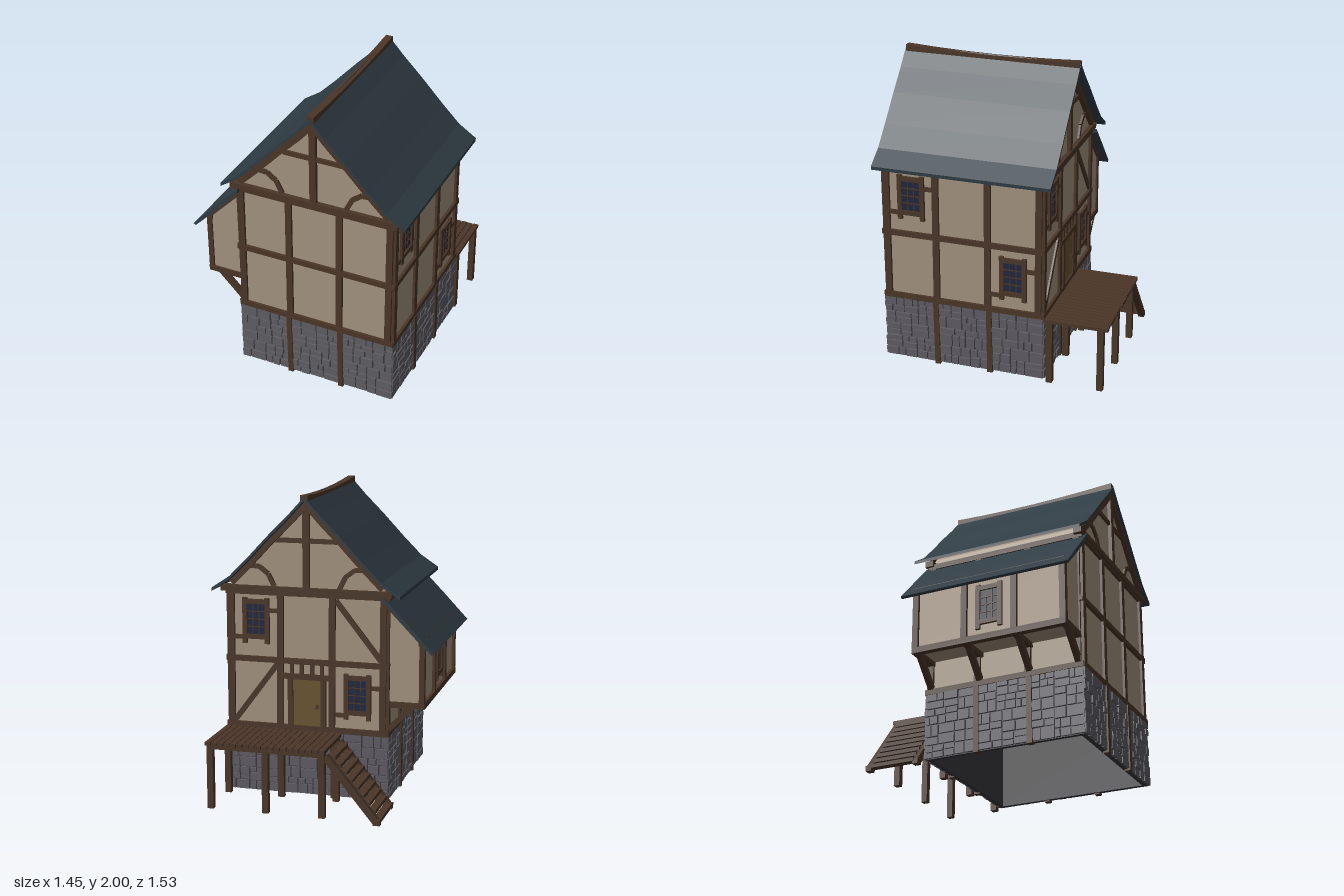
import * as THREE from 'three';
import { mergeGeometries } from 'three/addons/utils/BufferGeometryUtils.js';

const paint = (color, side = THREE.FrontSide) =>
  new THREE.MeshStandardMaterial({ color, side, flatShading: true, roughness: 0.9 });
const wood = paint(0x4b3628), plaster = paint(0xa4937f), slate = paint(0x2f3c44, THREE.DoubleSide);
const stone = paint(0x5f5d64), mortar = paint(0x38363b), glass = paint(0x1e2740), doorWood = paint(0x6a5530);
const CX = 0.108, CZ = 0.192, HALF = 0.525;

function add(parent, name, geo, mat) {
  const m = new THREE.Mesh(geo, mat);
  m.name = name;
  parent.add(m);
  return m;
}
// Box given by its limits
function box(parent, name, mat, x0, x1, y0, y1, z0, z1) {
  const m = add(parent, name, new THREE.BoxGeometry(x1 - x0, y1 - y0, z1 - z0), mat);
  m.position.set((x0 + x1) / 2, (y0 + y1) / 2, (z0 + z1) / 2);
  return m;
}
// Slanted beam between two points of an xy plane, centred on depth z
function beam(parent, name, a, b, w, z, d) {
  const dx = b[0] - a[0], dy = b[1] - a[1];
  const m = add(parent, name, new THREE.BoxGeometry(Math.hypot(dx, dy), w, d), wood);
  m.position.set((a[0] + b[0]) / 2, (a[1] + b[1]) / 2, z);
  m.rotation.z = Math.atan2(dy, dx);
  return m;
}
// Outline in xy pulled along z
function prism(parent, name, mat, pts, z0, z1) {
  const shape = new THREE.Shape(pts.map(p => new THREE.Vector2(p[0], p[1])));
  const geo = new THREE.ExtrudeGeometry(shape, { depth: z1 - z0, bevelEnabled: false });
  return add(parent, name, geo.translate(0, 0, z0), mat);
}
function seeded(seed) {
  return () => (seed = (seed * 16807) % 2147483647) / 2147483647;
}

// Irregular masonry: a rectangle split again and again into raised blocks
function masonry(rand, u0, u1, v0, v1, out) {
  const w = u1 - u0, h = v1 - v0;
  const splitW = w > 0.13 || (w > 0.09 && rand() < 0.3), splitH = h > 0.085;
  if (splitW && (w > h * 1.5 || !splitH)) {
    const c = u0 + w * (0.35 + 0.3 * rand());
    masonry(rand, u0, c, v0, v1, out);
    masonry(rand, c, u1, v0, v1, out);
  } else if (splitH) {
    const c = v0 + h * (0.35 + 0.3 * rand());
    masonry(rand, u0, u1, v0, c, out);
    masonry(rand, u0, u1, c, v1, out);
  } else {
    const d = 0.014 + 0.008 * rand();
    out.push(new THREE.BoxGeometry(w - 0.008, h - 0.008, d)
      .translate((u0 + u1) / 2, (v0 + v1) / 2, 0.524 + d / 2));
  }
}

// Framed window with lattice, on a wall plane at depth n
function windowUnit(parent, u, v, n) {
  const g = new THREE.Group();
  g.name = 'window';
  g.position.set(u, v, n);
  parent.add(g);
  box(g, 'glass', glass, -0.06, 0.06, -0.1, 0.1, 0, 0.006);
  for (const x of [-0.02, 0.02]) box(g, 'lattice', wood, x - 0.003, x + 0.003, -0.1, 0.1, 0, 0.011);
  for (const y of [-0.05, 0, 0.05]) box(g, 'lattice', wood, -0.06, 0.06, y - 0.003, y + 0.003, 0, 0.011);
  for (const y of [-0.115, 0.115]) box(g, 'rail', wood, -0.075, 0.075, y - 0.015, y + 0.015, 0, 0.018);
  for (const s of [-1, 1]) box(g, 'jamb', wood, s * 0.075 - 0.015, s * 0.075 + 0.015, -0.16, 0.14, 0, 0.018);
}

// One side of the house, drawn facing +z and turned into place
function side(root, name, turn, seed) {
  const g = new THREE.Group();
  g.name = name;
  g.position.set(CX, 0, CZ);
  g.rotation.y = turn;
  root.add(g);
  box(g, 'stoneBacking', mortar, -0.527, 0.527, 0.03, 0.46, 0.5, 0.527);
  const rand = seeded(seed), blocks = [];
  for (let i = 0; i < 3; i++) masonry(rand, -0.54 + i * 0.36, -0.18 + i * 0.36, 0.03, 0.46, blocks);
  add(g, 'stoneBlocks', mergeGeometries(blocks), stone);
  for (const u of [-0.18, 0.18]) beam(g, 'stonePost', [u, 0.02], [u - 0.005, 0.46], 0.035, 0.53, 0.04);
  for (const u of [-0.51, -0.18, 0.165, 0.5]) beam(g, 'stud', [u, 0.47], [u + 0.005, 1.36], 0.042, 0.525, 0.034);
  for (const y of [0.475, 0.918, 1.36]) box(g, 'girt', wood, -0.54, 0.54, y - 0.018, y + 0.018, 0.5, 0.544);
  return g;
}
function windowBays(g) {
  windowUnit(g, -0.34, 1.18, HALF);
  windowUnit(g, 0.335, 0.715, HALF);
  for (const [a, b, y] of [[-0.27, -0.17, 1.24], [-0.5, -0.42, 1.06], [0.41, 0.5, 0.77], [0.17, 0.26, 0.58]])
    box(g, 'noggin', wood, a, b, y - 0.014, y + 0.014, 0.51, 0.538);
}

// Half roof line, measured out from the ridge
const roofLine = [[0, 1.985], [0.1, 1.875], [0.23, 1.745], [0.38, 1.585], [0.5, 1.465], [0.62, 1.385]];
const lower = (pts, d) => pts.map(([x, y]) => [x, y - d]);

// Timber of one gable
function gable(g) {
  const line = lower(roofLine, 0.05);
  for (const s of [-1, 1]) {
    for (let i = 0; i < 4; i++)
      beam(g, 'rafter', [s * line[i][0], line[i][1]], [s * line[i + 1][0], line[i + 1][1]], 0.04, 0.53, 0.045);
    const arc = [[0.385, 1.53], [0.315, 1.525], [0.255, 1.48], [0.215, 1.4]];
    for (let i = 0; i < 3; i++)
      beam(g, 'curvedBrace', [s * arc[i][0], arc[i][1]], [s * arc[i + 1][0], arc[i + 1][1]], 0.03, 0.525, 0.03);
  }
  box(g, 'kingPost', wood, -0.022, 0.022, 1.39, 1.95, 0.5, 0.55);
  box(g, 'collar', wood, -0.2, 0.2, 1.685, 1.715, 0.5, 0.54);
  box(g, 'tieBeam', wood, -0.57, 0.56, 1.36, 1.4, 0.5, 0.555);
}

export function createModel() {
  const root = new THREE.Group();
  root.name = 'timberHouse';

  // Plastered upper body with gable
  const inner = lower(roofLine.slice(0, 5), 0.035);
  const right = [...inner, [HALF, 1.36], [HALF, 0.46]];
  const outline = [...right.map(p => [...p]).reverse(), ...right.slice(1).map(([x, y]) => [-x, y])];
  prism(root, 'plasterBody', plaster, outline.reverse(), -HALF, HALF).position.set(CX, 0, CZ);

  // Four sides
  const front = side(root, 'frontSide', 0, 11);
  const rightSide = side(root, 'eastSide', Math.PI / 2, 257);
  const back = side(root, 'backSide', Math.PI, 4099);
  side(root, 'westSide', -Math.PI / 2, 70001);
  gable(front);
  gable(back);
  windowBays(rightSide);
  windowBays(back);
  beam(back, 'brace', [0.19, 1.33], [0.49, 0.95], 0.035, 0.522, 0.03);
  beam(back, 'brace', [-0.49, 0.5], [-0.2, 0.89], 0.035, 0.522, 0.03);

  // Back door
  box(back, 'door', doorWood, -0.095, 0.095, 0.46, 0.8, 0.51, 0.533);
  for (const u of [-0.11, 0.11]) box(back, 'doorJamb', wood, u - 0.017, u + 0.017, 0.46, 0.82, 0.51, 0.545);
  box(back, 'doorLintel', wood, -0.17, 0.17, 0.8, 0.835, 0.51, 0.545);
  for (const u of [-0.1, -0.035, 0.035, 0.1]) box(back, 'lintelStud', wood, u - 0.012, u + 0.012, 0.83, 0.91, 0.51, 0.538);
  box(back, 'doorHandle', wood, 0.06, 0.075, 0.61, 0.635, 0.53, 0.545);

  // Main roof with flared eaves
  const top = [...roofLine.slice(1).map(([x, y]) => [-x, y]).reverse(), ...roofLine];
  prism(root, 'mainRoof', slate, [...top, ...lower(top, 0.022).reverse()], -0.41, 0.76).position.x = CX - 0.005;
  // Ridge beam, sagging slightly between its ends
  const ridge = new THREE.BoxGeometry(0.048, 0.04, 1.16, 1, 1, 6);
  const p = ridge.attributes.position;
  for (let i = 0; i < p.count; i++) {
    const t = p.getZ(i) / 0.58;
    p.setY(i, p.getY(i) + 0.018 * t * t + 0.002 * t);
  }
  add(root, 'ridgeBeam', ridge, wood).position.set(CX - 0.005, 1.96, 0.172);

  // Lean-to bay on the side
  const bay = new THREE.Group();
  bay.name = 'sideBay';
  root.add(bay);
  const z0 = -0.32, z1 = 0.705;
  prism(bay, 'bayBody', plaster, [[-0.42, 0.68], [-0.42, 1.33], [-0.64, 1.1], [-0.64, 0.68]], z0, z1);
  prism(bay, 'bayRoof', slate, [[-0.4, 1.37], [-0.56, 1.205], [-0.73, 1.025], [-0.715, 1.015], [-0.55, 1.18], [-0.4, 1.34]], -0.38, 0.765);
  for (const y of [0.67, 1.08]) box(bay, 'baySill', wood, -0.662, -0.62, y - 0.02, y + 0.02, z0 - 0.01, z1 + 0.01);
  for (const z of [z0 + 0.01, 0.03, 0.37, z1 - 0.01]) {
    box(bay, 'bayPost', wood, -0.66, -0.625, 0.66, 1.1, z - 0.02, z + 0.02);
    box(bay, 'bayJoist', wood, -0.66, -0.42, 0.65, 0.69, z - 0.02, z + 0.02);
    beam(bay, 'bayBrace', [-0.59, 0.67], [-0.425, 0.5], 0.035, z, 0.035);
  }
  for (const z of [z0, z1]) beam(bay, 'bayRafter', [-0.64, 1.085], [-0.42, 1.31], 0.03, z, 0.025);
  const bayFace = new THREE.Group();
  bayFace.name = 'bayFace';
  bayFace.rotation.y = -Math.PI / 2;
  bay.add(bayFace);
  windowUnit(bayFace, 0.2, 0.89, 0.64);

  // Rear deck
  const deck = new THREE.Group();
  deck.name = 'rearDeck';
  root.add(deck);
  const rand = seeded(99), planks = 19, step = 0.785 / planks;
  for (let i = 0; i < planks; i++) {
    const x = -0.125 + i * step;
    box(deck, 'plank', wood, x, x + step - 0.005, 0.438 + 0.004 * rand(), 0.462, -0.76 - 0.01 * rand(), -0.345);
  }
  for (const z of [-0.385, -0.72]) {
    box(deck, 'deckBeam', wood, -0.12, 0.655, 0.41, 0.44, z - 0.02, z + 0.02);
    for (const x of [-0.1, 0.27, 0.635]) box(deck, 'deckPost', wood, x - 0.02, x + 0.02, 0.015, 0.42, z - 0.02, z + 0.02);
  }

  // Stairs going down beside the deck
  const stairs = new THREE.Group();
  stairs.name = 'stairs';
  root.add(stairs);
  for (const z of [-0.39, -0.72]) {
    beam(stairs, 'stringer', [-0.12, 0.42], [-0.445, 0.025], 0.045, z, 0.035);
    box(stairs, 'stringerFoot', wood, -0.475, -0.43, 0, 0.035, z - 0.02, z + 0.02);
  }
  for (let i = 0; i < 9; i++) {
    const x = -0.15 - i * 0.037, y = 0.405 - i * 0.047;
    box(stairs, 'tread', wood, x - 0.032, x + 0.018, y - 0.012, y + 0.012, -0.705, -0.4);
  }
  return root;
}
